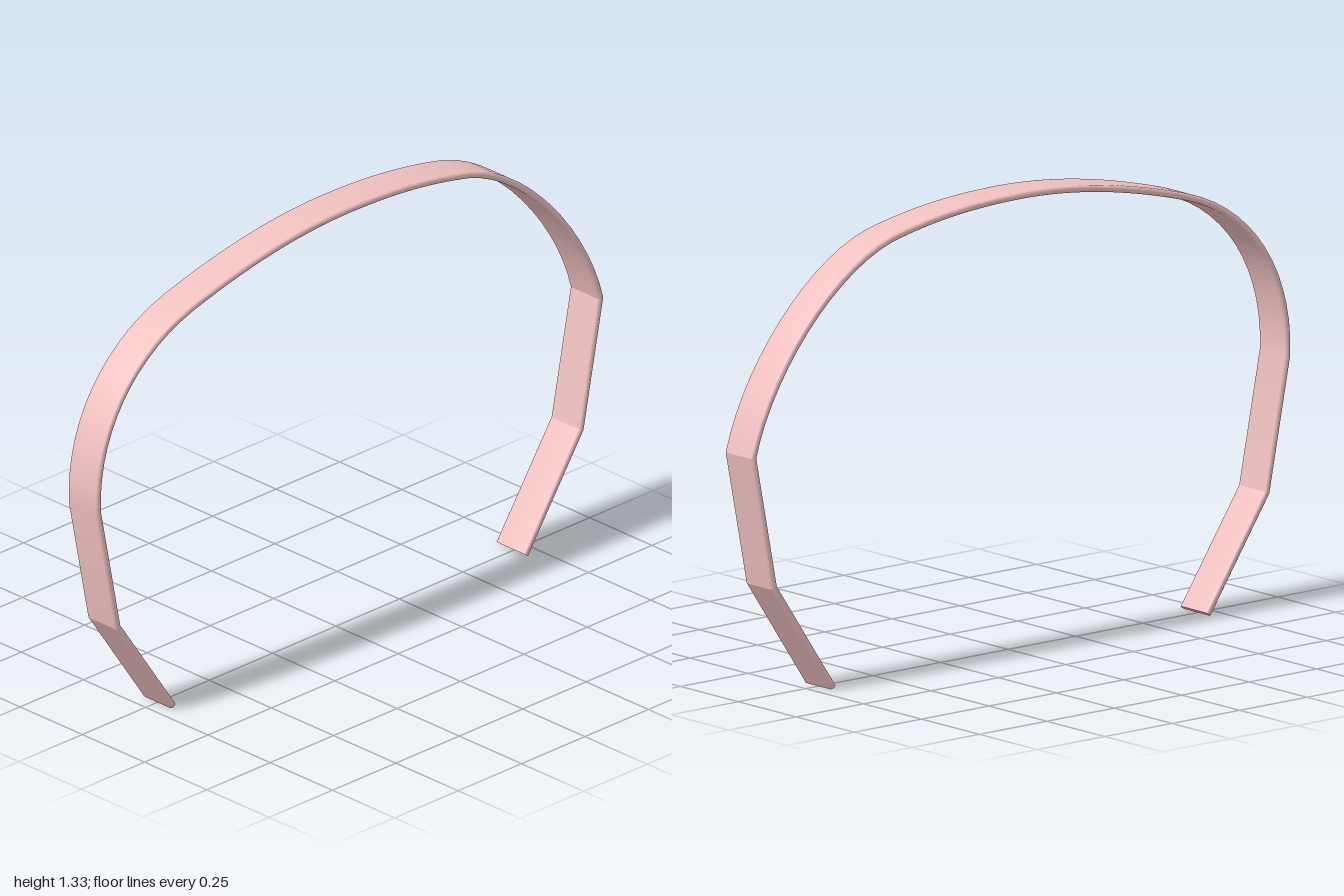
import * as THREE from 'three';
import { toCreasedNormals } from 'three/addons/utils/BufferGeometryUtils.js';

const HALF_WIDTH = 0.059, HALF_THICK = 0.01, CORNER = 0.008;

// Centre line of the band as (z, y): front leg, over the top, back leg
function bandPath() {
  const v = (z, y) => new THREE.Vector2(z, y);
  const arcs = [
    [v(0.99, 0.71), v(1.0, 0.95), v(0.86, 1.15), v(0.62, 1.222)],
    [v(0.62, 1.222), v(0.395, 1.288), v(0.19, 1.32), v(0, 1.32)],
    [v(0, 1.32), v(-0.19, 1.32), v(-0.33, 1.302), v(-0.475, 1.268)],
    [v(-0.475, 1.268), v(-0.70, 1.205), v(-0.93, 0.94), v(-0.99, 0.71)],
  ];
  const points = [v(0.695, 0.006), v(0.913, 0.325), arcs[0][0]];
  for (const arc of arcs) points.push(...new THREE.CubicBezierCurve(...arc).getPoints(14).slice(1));
  points.push(v(-0.913, 0.325), v(-0.695, 0.006));
  return points;
}

// Thin rounded rectangle: x across the band, y through its thickness
function crossSection() {
  const ring = [], steps = 5;
  [[1, 1], [-1, 1], [-1, -1], [1, -1]].forEach(([sx, sy], corner) => {
    for (let i = 0; i <= steps; i++) {
      const a = (corner + i / steps) * Math.PI / 2;
      ring.push([
        sx * (HALF_WIDTH - CORNER) + CORNER * Math.cos(a),
        sy * (HALF_THICK - CORNER) + CORNER * Math.sin(a),
      ]);
    }
  });
  return ring;
}

// Sweep the section along the path with mitred bends and capped ends
function sweepBand(path, ring) {
  const positions = [], index = [], n = ring.length, last = path.length - 1;
  path.forEach((p, i) => {
    const before = p.clone().sub(path[Math.max(i - 1, 0)]).normalize();
    const after = path[Math.min(i + 1, last)].clone().sub(p).normalize();
    const tangent = before.clone().add(after).normalize();
    const miter = 1 / tangent.dot(i < last ? after : before);
    for (const [x, t] of ring) {
      positions.push(x, p.y - tangent.x * t * miter, p.x + tangent.y * t * miter);
    }
  });
  for (let i = 0; i < last; i++) {
    for (let j = 0; j < n; j++) {
      const a = i * n + j, b = i * n + (j + 1) % n;
      index.push(a, a + n, b, b, a + n, b + n);
    }
  }
  for (let j = 1; j < n - 1; j++) {
    index.push(0, j, j + 1);
    index.push(last * n, last * n + j + 1, last * n + j);
  }
  const geometry = new THREE.BufferGeometry();
  geometry.setAttribute('position', new THREE.Float32BufferAttribute(positions, 3));
  geometry.setIndex(index);
  return toCreasedNormals(geometry, 0.36);
}

export function createModel() {
  const model = new THREE.Group();
  model.name = 'headband';
  const band = new THREE.Mesh(
    sweepBand(bandPath(), crossSection()),
    new THREE.MeshStandardMaterial({ color: 0xf0c0c0 }),
  );
  band.name = 'band';
  model.add(band);
  return model;
}
